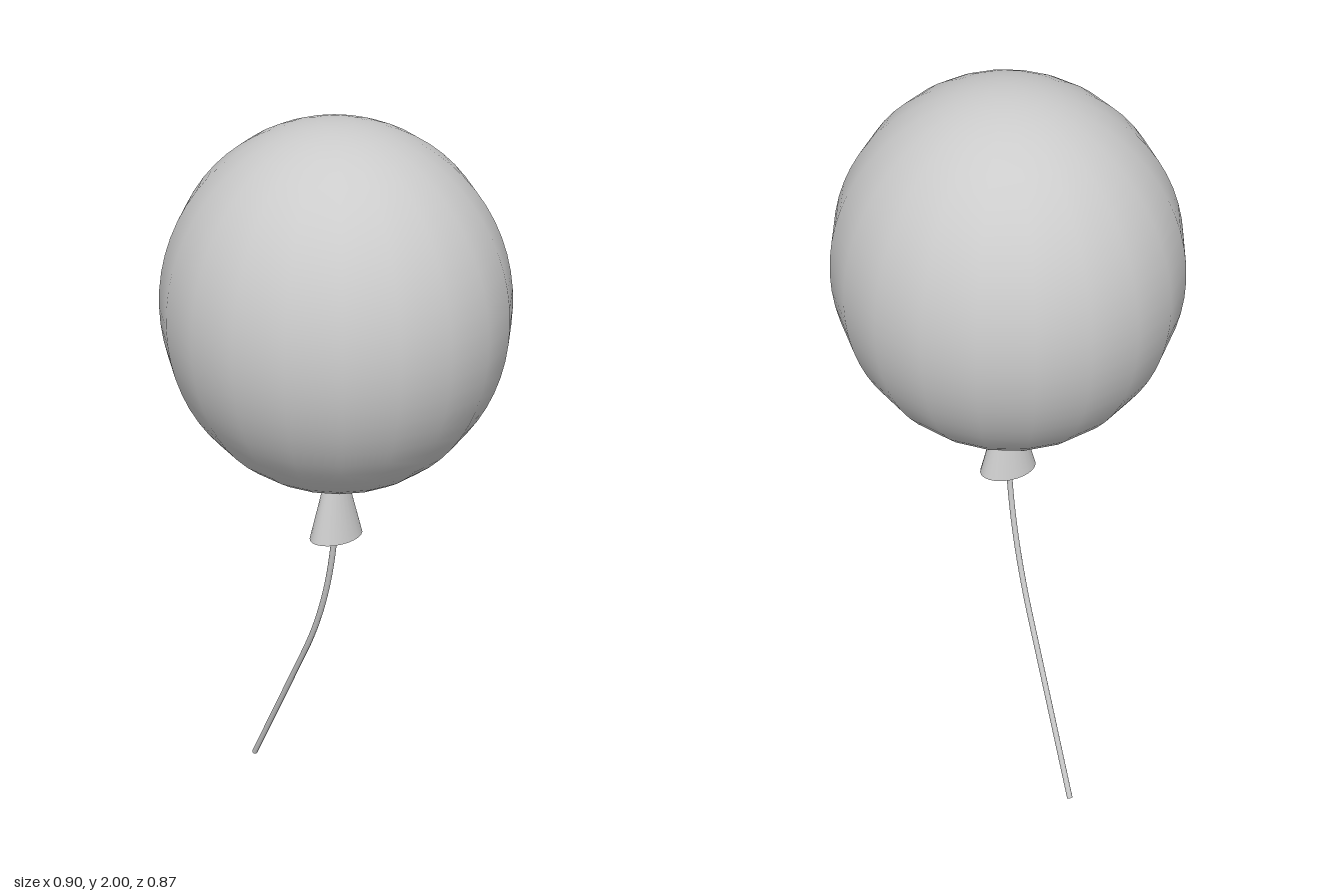
import * as THREE from 'three';

const material = new THREE.MeshStandardMaterial({ color: 0xcccccc });
const thinMaterial = new THREE.MeshStandardMaterial({ color: 0xcccccc, side: THREE.DoubleSide });

export function createModel() {
  const model = new THREE.Group();
  const add = (name, geometry, mat = material) => {
    const mesh = new THREE.Mesh(geometry, mat);
    mesh.name = name;
    model.add(mesh);
    return mesh;
  };

  // Balloon body: slightly flattened, taller than wide
  const body = add('balloonBody', new THREE.SphereGeometry(1, 20, 32));
  body.scale.set(0.45, 0.475, 0.436);
  body.position.y = 1.525;

  // Flared neck: an open elliptical cone tucked into the body
  const neck = add('neck', new THREE.CylinderGeometry(0.018, 0.053, 0.19, 24, 1, true), thinMaterial);
  neck.scale.z = 1.45;
  neck.position.y = 0.975;

  // String: hangs down from inside the neck, bends, then runs straight
  const path = new THREE.CurvePath();
  const top = new THREE.Vector3(0, 1, 0);
  const bend = new THREE.Vector3(-0.14, 0.465, 0);
  const end = new THREE.Vector3(-0.39, 0.004, 0);
  path.add(new THREE.QuadraticBezierCurve3(top, new THREE.Vector3(0, 0.724, 0), bend));
  path.add(new THREE.LineCurve3(bend, end));
  const radius = 0.008;
  add('string', new THREE.TubeGeometry(path, 40, radius, 8, false));

  // Disc closing the lower end of the string
  const cap = add('stringEnd', new THREE.CircleGeometry(radius, 8));
  cap.position.copy(end);
  cap.quaternion.setFromUnitVectors(new THREE.Vector3(0, 0, 1), end.clone().sub(bend).normalize());

  return model;
}
